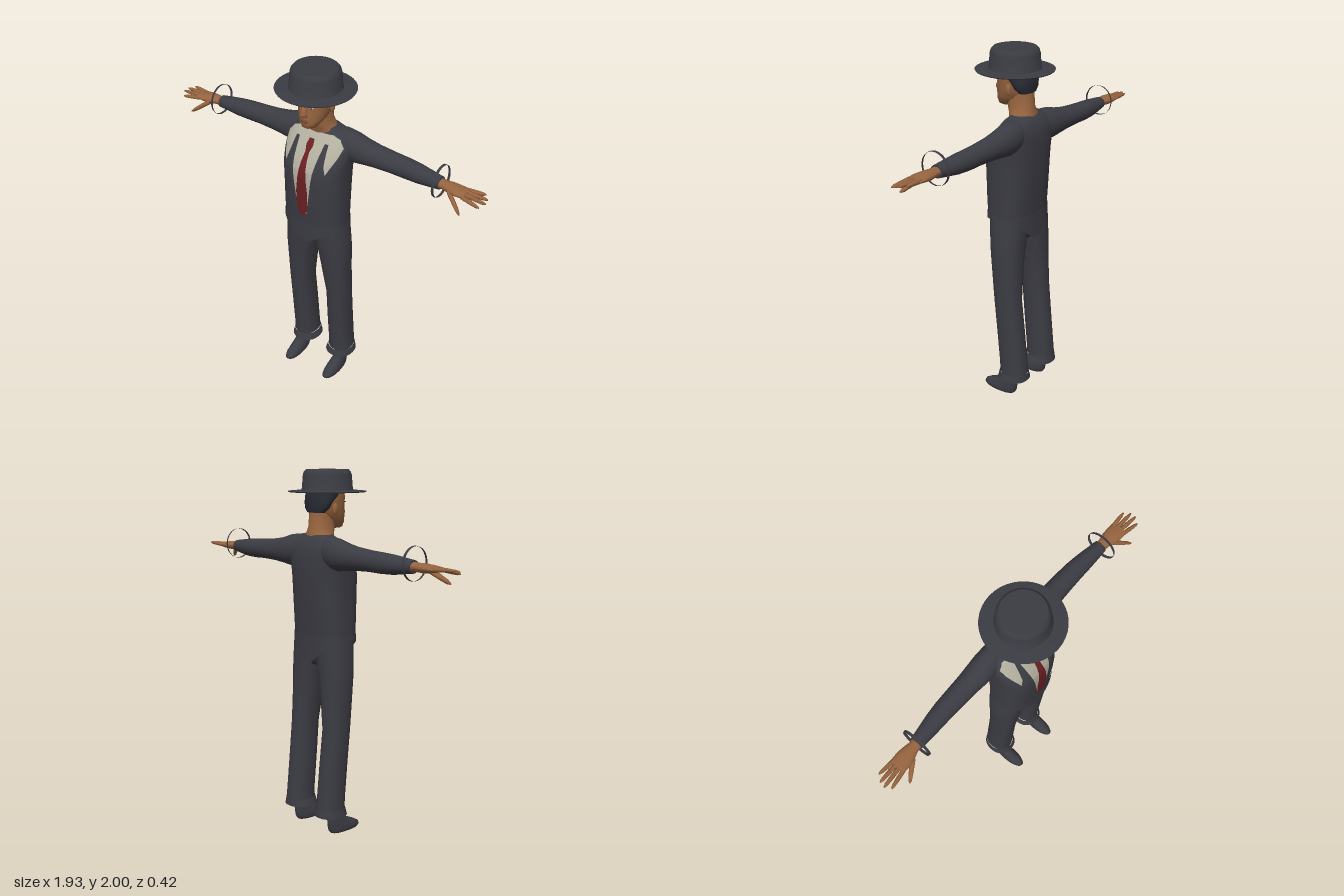
import * as THREE from 'three';
import { toCreasedNormals } from 'three/addons/utils/BufferGeometryUtils.js';

const mat = (name, color, side = THREE.FrontSide) => {
  const m = new THREE.MeshStandardMaterial({ color, side });
  m.name = name;
  return m;
};

// Superellipse outline point: angle to [across, depth] in -1..1
const outline = (t, n) => [Math.cos(t), Math.sin(t)].map(v => Math.sign(v) * Math.abs(v) ** (2 / n));
const angles = count => Array.from({ length: count }, (_, i) => (i / count) * Math.PI * 2);

// Horizontal ring: [y, centreX, halfWidth, zFront, zBack]
const ringY = ([y, cx, hw, zf, zb], n = 2.2, count = 40) => angles(count).map(t => {
  const [a, b] = outline(t, n);
  return new THREE.Vector3(cx + a * hw, y, (zf + zb) / 2 + b * (zf - zb) / 2);
});
// Sideways ring: [x, y, z, radiusY, radiusZ]
const ringX = ([x, y, z, ry, rz], side, count = 20) => angles(count).map(t =>
  new THREE.Vector3(side * x, y + Math.cos(t) * ry, z + Math.sin(t) * rz));

// Skin a row of rings; closed lofts are capped and turned to face outward
function loft(rings, closed = true, crease = 1) {
  const n = rings[0].length, pts = rings.flat(), idx = [];
  for (let r = 0; r < rings.length - 1; r++) {
    for (let i = 0; i < n; i++) {
      const a = r * n + i, b = r * n + (i + 1) % n;
      idx.push(a, a + n, b, b, a + n, b + n);
    }
  }
  if (closed) {
    [0, rings.length - 1].forEach((r, end) => {
      const c = pts.length;
      pts.push(rings[r].reduce((s, p) => s.add(p), new THREE.Vector3()).divideScalar(n));
      for (let i = 0; i < n; i++) {
        const a = r * n + i, b = r * n + (i + 1) % n;
        end ? idx.push(c, b, a) : idx.push(c, a, b);
      }
    });
    let volume = 0;
    for (let i = 0; i < idx.length; i += 3) {
      volume += pts[idx[i]].dot(pts[idx[i + 1]].clone().cross(pts[idx[i + 2]]));
    }
    if (volume < 0) idx.reverse();
  }
  const g = new THREE.BufferGeometry().setFromPoints(pts);
  g.setIndex(idx);
  return toCreasedNormals(g, crease);
}

// Torso sections: [y, centreX, halfWidth, zFront, zBack]
const TORSO = [
  [1.09, 0, 0.183, 0.105, -0.14], [1.2, 0, 0.182, 0.114, -0.15], [1.3, 0, 0.182, 0.118, -0.157],
  [1.4, 0, 0.184, 0.12, -0.162], [1.45, 0, 0.186, 0.115, -0.164], [1.5, 0, 0.19, 0.095, -0.165],
  [1.55, 0, 0.193, 0.062, -0.163], [1.58, 0, 0.19, 0.04, -0.16], [1.61, 0, 0.175, 0.018, -0.152],
  [1.635, 0, 0.145, 0.0, -0.14], [1.66, 0, 0.1, -0.02, -0.12],
];
const TORSO_N = 2.6;

function frontZ(x, y) {
  const i = Math.max(0, TORSO.findIndex((s, k) => k < TORSO.length - 1 && y <= TORSO[k + 1][0]));
  const a = TORSO[i], b = TORSO[i + 1], t = (y - a[0]) / (b[0] - a[0]);
  const [, , hw, zf, zb] = a.map((v, k) => v + (b[k] - v) * t);
  const u = Math.min(1, Math.abs(x / hw));
  return (zf + zb) / 2 + (zf - zb) / 2 * (1 - u ** TORSO_N) ** (1 / TORSO_N);
}

// Thin cloth lying on the chest; rows: [y, xStart, xEnd]
function chestPatch(rows, lift, cols = 16, steps = 5) {
  const pts = [], idx = [];
  for (let r = 0; r < rows.length - 1; r++) {
    for (let s = r ? 1 : 0; s <= steps; s++) {
      const [y, x0, x1] = rows[r].map((v, k) => v + (rows[r + 1][k] - v) * s / steps);
      for (let c = 0; c <= cols; c++) {
        const x = x0 + (x1 - x0) * c / cols;
        pts.push(new THREE.Vector3(x, y, frontZ(x, y) + lift));
      }
    }
  }
  const w = cols + 1;
  for (let i = 0; i + w < pts.length; i++) {
    if (i % w < cols) idx.push(i, i + w, i + 1, i + 1, i + w, i + w + 1);
  }
  // Keep faces turned toward the front on both mirrored halves
  if (rows[0][2] < rows[0][1]) idx.reverse();
  const g = new THREE.BufferGeometry().setFromPoints(pts);
  g.setIndex(idx);
  g.computeVertexNormals();
  return g;
}

export function createModel() {
  const model = new THREE.Group();
  const cloth = mat('charcoal cloth', 0x3b3b43);
  const hem = mat('charcoal hem', 0x3b3b43, THREE.DoubleSide);
  const skin = mat('skin', 0x96643f);
  const hair = mat('dark hair', 0x292c35);
  const white = mat('ivory shirt', 0xb3af9f, THREE.DoubleSide);
  const red = mat('red tie', 0x6b1f22, THREE.DoubleSide);
  const lip = mat('lips', 0x754530);
  const add = (name, geometry, material) => {
    const m = new THREE.Mesh(geometry, material);
    m.name = name;
    model.add(m);
    return m;
  };
  const ball = (name, material, p, s) => {
    const m = add(name, new THREE.SphereGeometry(1, 16, 12), material);
    m.position.set(...p);
    m.scale.set(...s);
    return m;
  };

  // Hat
  add('hat', toCreasedNormals(new THREE.LatheGeometry([
    [0, 1.881], [0.208, 1.881], [0.211, 1.886], [0.14, 1.892], [0.137, 1.9],
    [0.131, 1.97], [0.126, 1.987], [0.114, 2], [0, 2],
  ].map(p => new THREE.Vector2(...p)), 40), 0.6), cloth);

  // Head and neck
  add('neck', loft([
    [1.58, 0, 0.1, 0, -0.115], [1.645, 0, 0.088, 0.008, -0.127], [1.665, 0, 0.075, 0.018, -0.124],
    [1.7, 0, 0.062, 0.033, -0.115], [1.78, 0, 0.062, 0.03, -0.108],
  ].map(s => ringY(s))), skin);
  add('head', loft([
    [1.688, 0, 0.022, 0.086, 0.03], [1.696, 0, 0.04, 0.096, 0.0], [1.72, 0, 0.058, 0.1, -0.03],
    [1.745, 0, 0.071, 0.099, -0.07], [1.78, 0, 0.08, 0.099, -0.1], [1.815, 0, 0.085, 0.094, -0.112],
    [1.85, 0, 0.088, 0.098, -0.115], [1.895, 0, 0.088, 0.09, -0.113],
  ].map(s => ringY(s)), true, 1.4), skin);
  add('hair', loft([
    [1.775, 0, 0.06, -0.05, -0.112], [1.8, 0, 0.082, -0.025, -0.118], [1.83, 0, 0.089, -0.0, -0.121],
    [1.86, 0, 0.092, 0.05, -0.122], [1.893, 0, 0.092, 0.075, -0.12],
  ].map(s => ringY(s))), hair);
  add('nose', loft([
    [1.757, 0, 0.012, 0.104, 0.08], [1.768, 0, 0.019, 0.124, 0.08],
    [1.78, 0, 0.014, 0.126, 0.08], [1.83, 0, 0.008, 0.101, 0.08],
  ].map(s => ringY(s, 2, 16)), true, 1.4), skin);
  ball('upperLip', lip, [0, 1.738, 0.098], [0.026, 0.005, 0.008]);
  ball('lowerLip', lip, [0, 1.729, 0.098], [0.02, 0.005, 0.008]);

  // Torso and shirt front
  add('jacket', loft(TORSO.map(s => ringY(s, TORSO_N, 64)), true, 1.2), cloth);
  add('shirt', chestPatch([
    [1.637, 0.105], [1.62, 0.145], [1.585, 0.173], [1.54, 0.163], [1.46, 0.128], [1.4, 0.1], [1.18, 0.03],
  ].map(([y, w]) => [y, -w, w]), 0.004, 40), white);
  add('tie', chestPatch([
    [1.605, 0.015], [1.575, 0.021], [1.545, 0.012], [1.32, 0.036], [1.22, 0.033], [1.175, 0.018],
  ].map(([y, w]) => [y, -w, w]), 0.01), red);

  // Jacket hem with a point at front and back
  const top = ringY([1.12, 0, 0.186, 0.109, -0.145], TORSO_N, 80);
  const bottom = top.map(p => new THREE.Vector3(p.x * 1.01,
    1.092 - (p.z > 0 ? 0.1 : 0.125) * Math.max(0, Math.min(1, 1.15 - Math.abs(p.x) / 0.15)), p.z));
  add('jacketHem', loft([top, bottom], false), hem);

  // Hips
  add('hips', loft([
    [1.12, 0, 0.176, 0.085, -0.133], [1.04, 0, 0.183, 0.08, -0.132],
    [0.99, 0, 0.17, 0.066, -0.128], [0.945, 0, 0.09, 0.02, -0.09],
  ].map(s => ringY(s, 2.5))), cloth);

  for (const s of [1, -1]) {
    const side = s > 0 ? 'left' : 'right';

    // Face details
    ball(side + 'Ear', skin, [s * 0.089, 1.795, -0.022], [0.009, 0.03, 0.018]);
    ball(side + 'Brow', hair, [s * 0.038, 1.828, 0.087], [0.022, 0.004, 0.006]).rotation.y = s * 0.35;
    ball(side + 'Eye', white, [s * 0.036, 1.813, 0.085], [0.012, 0.004, 0.005]).rotation.y = s * 0.35;
    ball(side + 'Pupil', hair, [s * 0.036, 1.813, 0.0885], [0.004, 0.004, 0.003]);

    // Lapel
    add(side + 'Lapel', chestPatch([
      [1.597, 0.08, 0.1], [1.5, 0.068, 0.112], [1.44, 0.06, 0.132], [1.3, 0.042, 0.1], [1.17, 0.022, 0.05],
    ].map(([y, a, b]) => [y, s * a, s * b]), 0.008), hem);

    // Sleeve
    add(side + 'Sleeve', loft([
      [0.07, 1.57, -0.085, 0.08, 0.055], [0.13, 1.571, -0.086, 0.085, 0.066], [0.19, 1.563, -0.086, 0.085, 0.069],
      [0.25, 1.558, -0.086, 0.072, 0.066], [0.32, 1.555, -0.087, 0.062, 0.06], [0.42, 1.552, -0.088, 0.055, 0.056],
      [0.5, 1.549, -0.088, 0.054, 0.053], [0.58, 1.547, -0.084, 0.05, 0.048], [0.705, 1.547, -0.075, 0.033, 0.036],
    ].map(r => ringX(r, s, 28))), cloth);

    // Loose cuff ring standing around the wrist
    add(side + 'SleeveCuff', loft([
      [0.698, 1.562, -0.07, 0.087, 0.085], [0.712, 1.562, -0.07, 0.085, 0.083],
    ].map(r => ringX(r, s, 32)), false), hem);

    // Hand
    add(side + 'Palm', loft([
      [0.68, 1.547, -0.075, 0.026, 0.03], [0.73, 1.547, -0.073, 0.023, 0.031], [0.77, 1.546, -0.07, 0.024, 0.042],
      [0.81, 1.546, -0.067, 0.02, 0.047], [0.855, 1.546, -0.066, 0.013, 0.045],
    ].map(r => ringX(r, s))), skin);
    const fingers = [
      ['Index', [0.84, 1.544, -0.032], [0.945, 1.53, -0.016]],
      ['Middle', [0.845, 1.547, -0.055], [0.965, 1.543, -0.045]],
      ['Ring', [0.845, 1.548, -0.077], [0.96, 1.55, -0.074]],
      ['Little', [0.835, 1.547, -0.098], [0.935, 1.553, -0.105]],
      ['Thumb', [0.765, 1.54, -0.042], [0.862, 1.472, 0.014]],
    ];
    for (const [name, a, b] of fingers) {
      const r = name === 'Thumb' ? 0.016 : 0.0115;
      const rings = [[0, 1], [0.5, 0.95], [0.85, 0.75], [1, 0.3]].map(([t, k]) =>
        ringX([...a.map((v, i) => v + (b[i] - v) * t), r * k, r * k], s, 10));
      add(side + name, loft(rings, true, 1.4), skin);
    }

    // Trouser leg
    add(side + 'TrouserLeg', loft([
      [1.1, 0.09, 0.088, 0.078, -0.132], [1, 0.096, 0.094, 0.07, -0.13], [0.94, 0.102, 0.094, 0.064, -0.128],
      [0.88, 0.11, 0.088, 0.057, -0.126], [0.8, 0.116, 0.081, 0.049, -0.125], [0.6, 0.13, 0.066, 0.028, -0.13],
      [0.4, 0.128, 0.067, 0.01, -0.15], [0.2, 0.128, 0.067, -0.008, -0.17], [0.148, 0.128, 0.07, -0.012, -0.174],
    ].map(([y, cx, ...r]) => ringY([y, s * cx, ...r], 2.3))), cloth);
    add(side + 'TrouserCuff', loft([
      [0.15, 0.127, 0.074, -0.008, -0.176], [0.108, 0.125, 0.086, 0.002, -0.181],
    ].map(([y, cx, ...r]) => ringY([y, s * cx, ...r], 2.2)), false), hem);

    // Ankle and foot
    add(side + 'Foot', loft([
      [0.2, 0.142, 0.03, -0.03, -0.125], [0.1, 0.142, 0.031, -0.015, -0.122], [0.07, 0.141, 0.034, 0.015, -0.12],
      [0.045, 0.14, 0.038, 0.07, -0.118], [0.025, 0.14, 0.041, 0.102, -0.114], [0.01, 0.14, 0.041, 0.108, -0.108],
      [0, 0.14, 0.037, 0.1, -0.098],
    ].map(([y, cx, ...r]) => ringY([y, s * cx, ...r], 2.2, 28)), true, 1.1), cloth);
  }
  return model;
}
